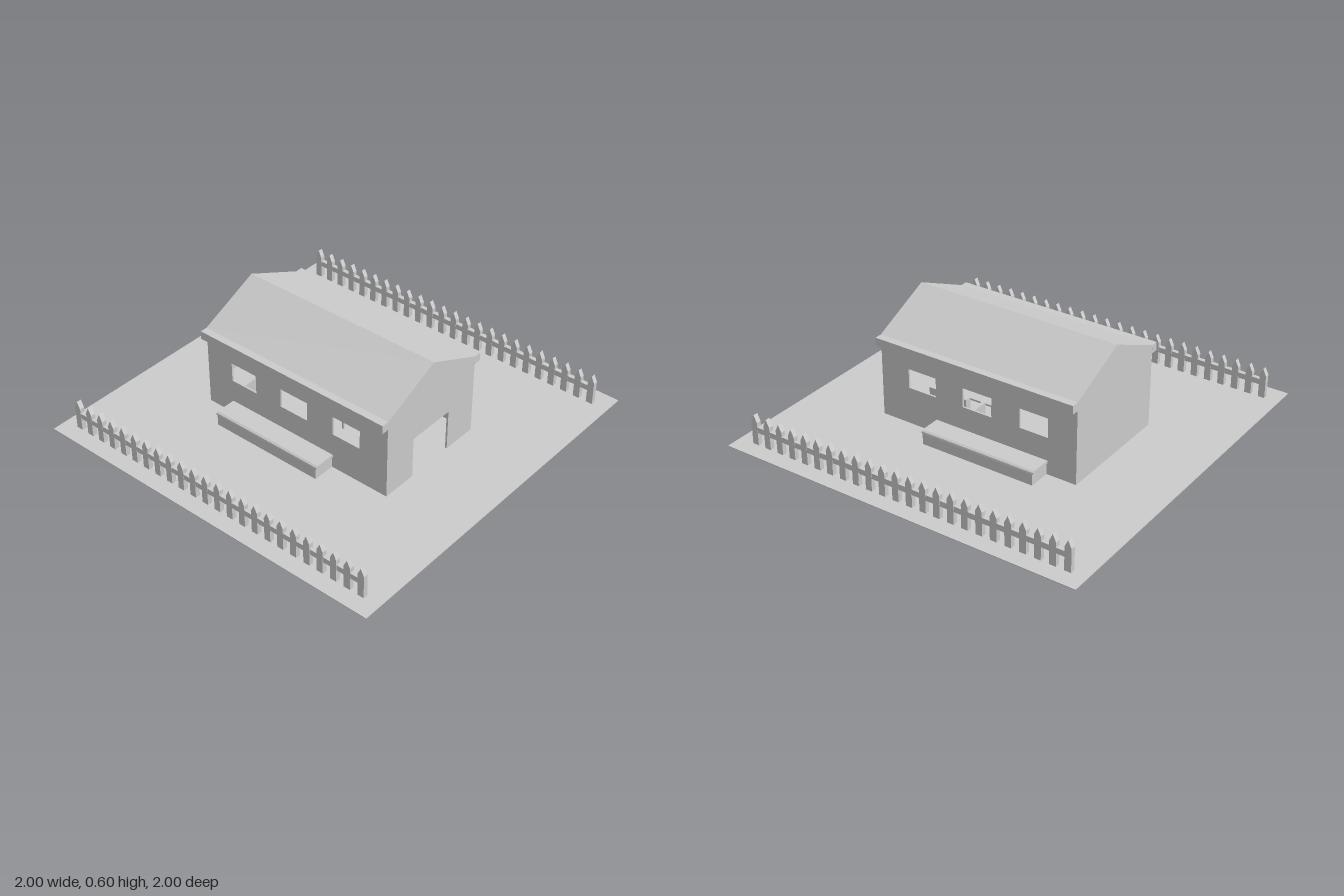
import * as THREE from 'three';

const material = new THREE.MeshStandardMaterial({ color: 0xcccccc, flatShading: true });

function add(parent, name, geometry) {
  const mesh = new THREE.Mesh(geometry, material);
  mesh.name = name;
  parent.add(mesh);
  return mesh;
}

function group(parent, name) {
  const g = new THREE.Group();
  g.name = name;
  parent.add(g);
  return g;
}

// Box given by its limits on each axis
function box(parent, name, [x0, x1], [y0, y1], [z0, z1]) {
  const geometry = new THREE.BoxGeometry(x1 - x0, y1 - y0, z1 - z0);
  geometry.translate((x0 + x1) / 2, (y0 + y1) / 2, (z0 + z1) / 2);
  return add(parent, name, geometry);
}

const outline = (points) => points.map(([x, y]) => new THREE.Vector2(x, y));

function extrude(points, depth, holes = []) {
  const shape = new THREE.Shape(outline(points));
  holes.forEach((hole) => shape.holes.push(new THREE.Path(outline(hole))));
  return new THREE.ExtrudeGeometry(shape, { depth, bevelEnabled: false });
}

// Extrude a (z, y) profile along x, centred at the given x
function extrudeX(points, length, x) {
  return extrude(points.map(([z, y]) => [-z, y]), length)
    .rotateY(Math.PI / 2).translate(x - length / 2, 0, 0);
}

function buildHouse(parent) {
  const house = group(parent, 'house');
  const wall = 0.01;

  // Long walls with three windows each
  const windows = [[-0.41, -0.25], [-0.09, 0.08], [0.24, 0.405]].map(([a, b]) =>
    [[a, 0.205], [a, 0.31], [b, 0.31], [b, 0.205]]);
  const side = [[-0.57, 0], [0.57, 0], [0.57, 0.44], [-0.57, 0.44]];
  add(house, 'frontWall', extrude(side, wall, windows)).position.z = 0.33 - wall;
  add(house, 'backWall', extrude(side, wall, windows)).position.z = -0.33;

  // Gable walls, the left one with a doorway
  const gable = [[-0.33, 0], [-0.33, 0.445], [0, 0.595], [0.33, 0.445], [0.33, 0]];
  const doorway = [[0.135, 0], [0.135, 0.23], [-0.135, 0.23], [-0.135, 0]];
  add(house, 'doorGable', extrudeX([...gable, ...doorway], wall, 0.57 - wall / 2));
  add(house, 'plainGable', extrudeX(gable, wall, -0.57 + wall / 2));

  // Roof with boxed eaves
  const eave = [[0.33, 0.45], [0.37, 0.45], [0.37, 0.405], [0.33, 0.405], [0.33, 0.435]];
  const mirrored = eave.map(([z, y]) => [-z, y]).reverse();
  add(house, 'roof', extrudeX([[0, 0.6], ...eave, [0, 0.585], ...mirrored], 1.142, 0));

  // Low platforms beneath the windows
  for (const s of [1, -1]) {
    const body = [[0.33, 0], [0.45, 0], [0.45, 0.065], [0.33, 0.065]];
    const cap = [[0.33, 0.065], [0.452, 0.065], [0.45, 0.074], [0.44, 0.08], [0.33, 0.08]];
    const flip = (p) => p.map(([z, y]) => [z * s, y]);
    add(house, 'platform', extrudeX(flip(body), 0.64, -0.085));
    add(house, 'platformCap', extrudeX(flip(cap), 0.65, -0.085));
  }
}

function buildFurniture(parent) {
  const room = group(parent, 'furniture');

  // Four legs at the corners of a rectangle
  const legs = (g, [x0, x1], [z0, z1], top, t) => {
    for (const x of [x0, x1 - t]) for (const z of [z0, z1 - t])
      box(g, 'leg', [x, x + t], [0, top], [z, z + t]);
  };

  const table = group(room, 'table');
  box(table, 'tableTop', [0.06, 0.3], [0.093, 0.103], [-0.1, 0.1]);
  legs(table, [0.08, 0.28], [-0.085, 0.075], 0.093, 0.01);

  const chair = group(room, 'chair');
  box(chair, 'seat', [0.32, 0.375], [0.06, 0.07], [-0.045, 0.01]);
  box(chair, 'chairBack', [0.368, 0.376], [0.06, 0.15], [-0.045, 0.01]);
  legs(chair, [0.32, 0.375], [-0.045, 0.01], 0.06, 0.008);

  const sofa = group(room, 'sofa');
  box(sofa, 'sofaSeat', [0.08, 0.28], [0, 0.1], [-0.3, -0.16]);
  box(sofa, 'sofaBack', [0.07, 0.29], [0, 0.24], [-0.315, -0.28]);
  for (const x of [0.07, 0.27])
    box(sofa, 'sofaArm', [x, x + 0.02], [0, 0.15], [-0.3, -0.16]);

  box(room, 'cabinet', [-0.52, -0.38], [0, 0.155], [-0.05, 0.3]);
}

function buildFence(parent, z) {
  const fence = group(parent, z > 0 ? 'frontFence' : 'backFence');
  const t = 0.026;
  box(fence, 'rail', [-0.905, 0.9], [0.074, 0.104], [z - t / 2 + 0.001, z + t / 2 - 0.001]);
  const picket = extrude(
    [[-0.018, 0], [0.018, 0], [0.018, 0.13], [0, 0.168], [-0.018, 0.13]], t);
  for (let i = 0; i < 24; i++)
    add(fence, 'picket', picket).position.set(-0.904 + i * 0.0783, 0, z - t / 2);
}

export function createModel() {
  const model = new THREE.Group();
  model.name = 'cottageWithFences';
  box(model, 'ground', [-1, 1], [0, 0.004], [-1, 1]);
  buildHouse(model);
  buildFurniture(model);
  buildFence(model, 0.9);
  buildFence(model, -0.9);
  return model;
}
